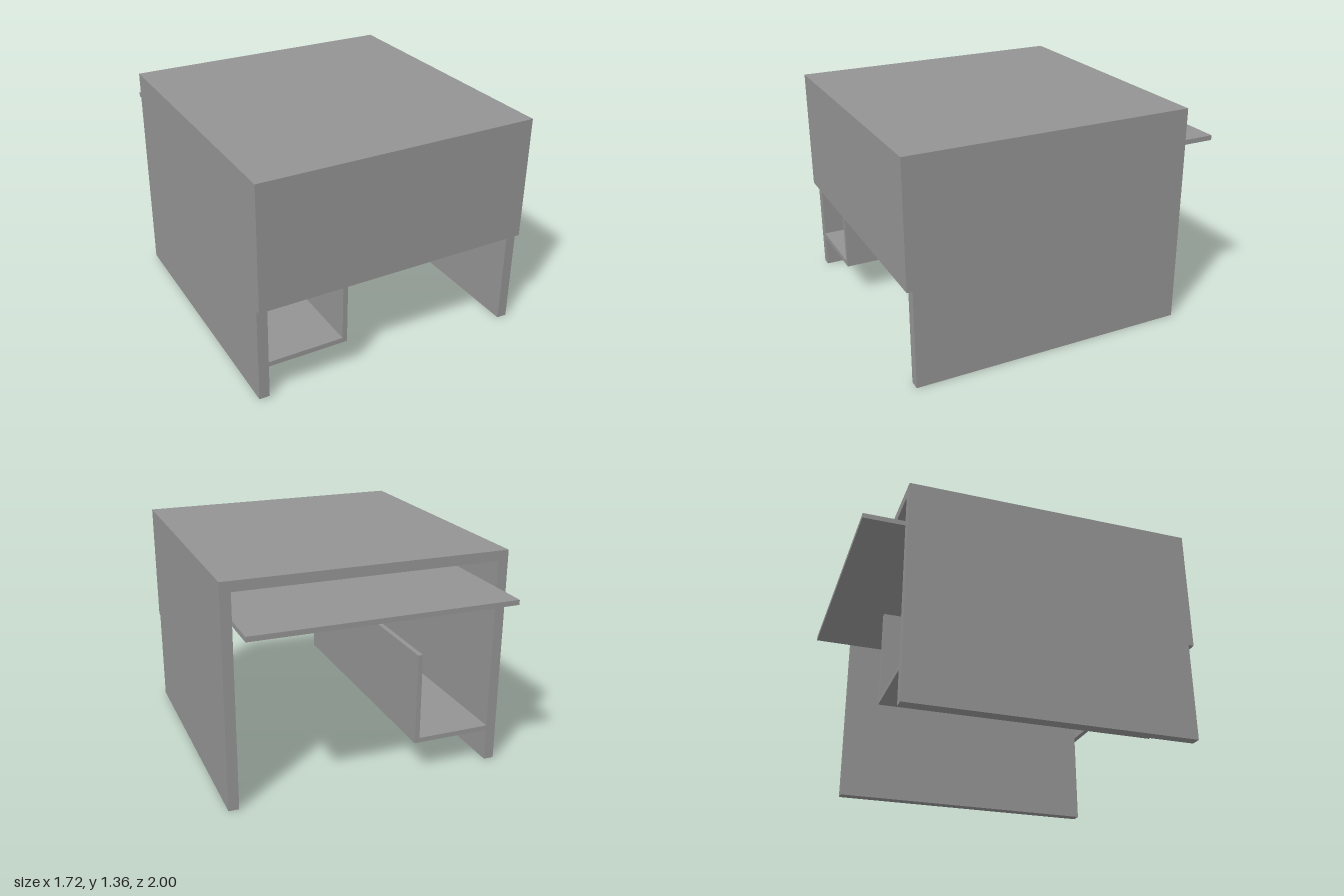
import * as THREE from 'three';

export function createModel() {
  const desk = new THREE.Group();
  desk.name = 'desk';
  const material = new THREE.MeshStandardMaterial({ color: 0x939393 });

  // Adds a flat board given its extents along each axis
  function board(name, [x0, x1], [y0, y1], [z0, z1]) {
    const mesh = new THREE.Mesh(new THREE.BoxGeometry(x1 - x0, y1 - y0, z1 - z0), material);
    mesh.position.set((x0 + x1) / 2, (y0 + y1) / 2, (z0 + z1) / 2);
    mesh.name = name;
    desk.add(mesh);
  }

  const depth = [-0.755, 0.967];
  const top = 1.358;

  // Carcass: side panels, top between them, front modesty panel
  board('leftSidePanel', [0.797, 0.86], [0, top], depth);
  board('rightSidePanel', [-0.86, -0.797], [0.007, top], depth);
  board('deskTop', [-0.797, 0.797], [1.297, top], depth);
  board('frontPanel', [-0.86, 0.86], [0.602, top], [0.967, 1]);

  // Keyboard tray, pulled out at the back
  board('keyboardTray', [-0.797, 0.797], [1.108, 1.138], [-1, 0]);

  // Low compartment against the right side panel
  board('shelf', [-0.797, -0.305], [0.21, 0.24], depth);
  board('shelfDivider', [-0.335, -0.305], [0.24, 0.78], depth);

  return desk;
}
